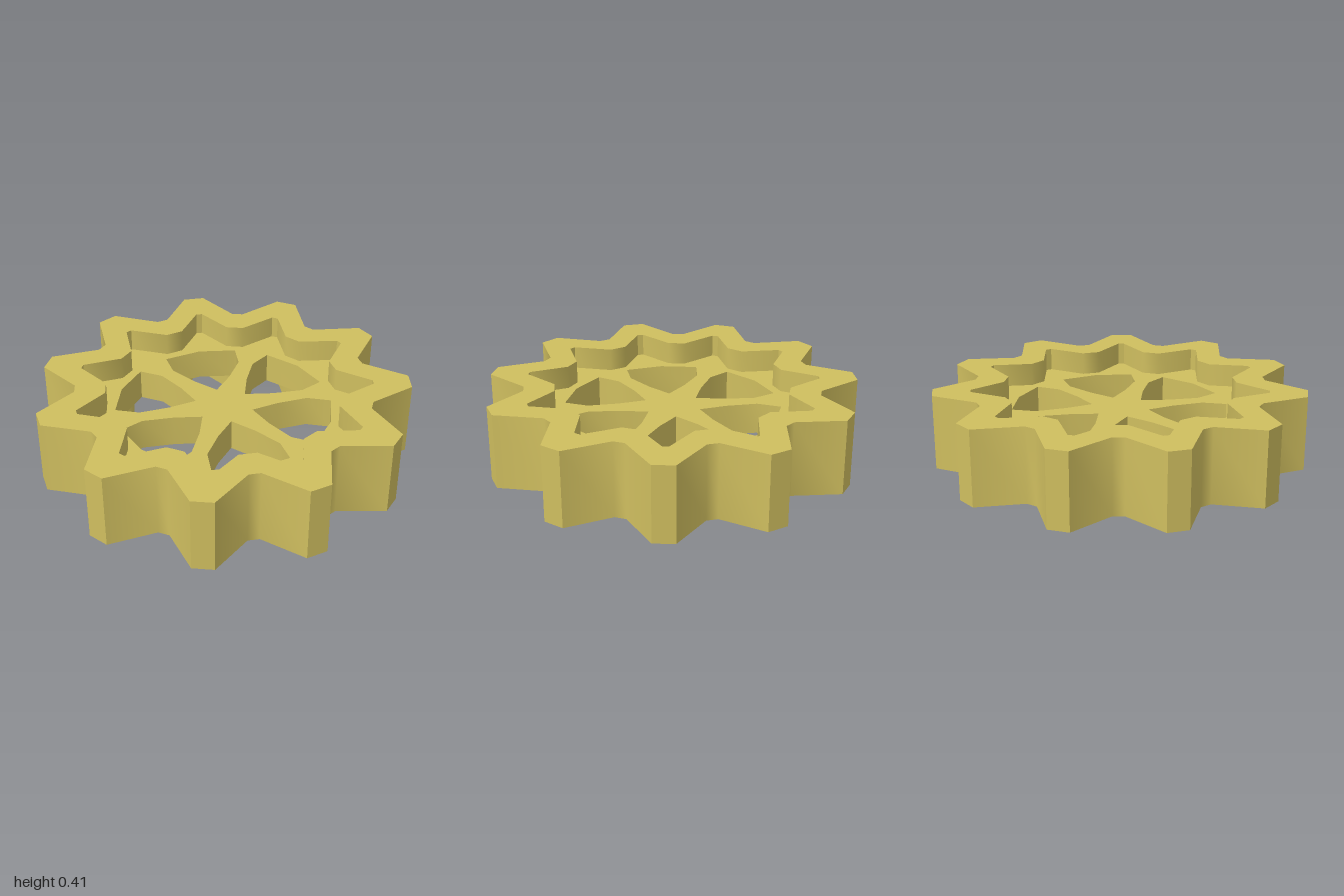
import * as THREE from 'three';
import { toCreasedNormals } from 'three/addons/utils/BufferGeometryUtils.js';

const TEETH = 11;
const HEIGHT = 0.41;
const WEB_BOTTOM = 0.11;
const WEB_TOP = 0.283;

// Toothed outline, clockwise: a flat tip and a flat valley per tooth
function toothOutline(tipR, tipHalf, valleyR, valleyHalf) {
  const points = [];
  const add = (angle, r, side) => points.push(new THREE.Vector2(
    r * Math.sin(angle) + side * Math.cos(angle),
    r * Math.cos(angle) - side * Math.sin(angle)));
  for (let i = 0; i < TEETH; i++) {
    const tip = 0.015 + (i / TEETH) * Math.PI * 2;
    const valley = tip + Math.PI / TEETH;
    add(tip, tipR, -tipHalf);
    add(tip, tipR, tipHalf);
    add(valley, valleyR, -valleyHalf);
    add(valley, valleyR, valleyHalf);
  }
  return points;
}

// Fan-shaped opening between two spokes, clockwise
function openingOutline(angle) {
  const half = [[0.16, 0], [0.275, 0.1], [0.417, 0.193], [0.55, 0.205], [0.588, 0]];
  const mirrored = half.slice(1, -1).reverse().map(([x, y]) => [x, -y]);
  return [...half, ...mirrored].map(([x, y]) =>
    new THREE.Vector2(x, y).rotateAround(new THREE.Vector2(), angle));
}

// Upright slab with crisp edges and softened valleys
function slab(name, outline, holes, y0, y1, material) {
  const shape = new THREE.Shape(outline);
  // Holes run against the outline so their walls face inward
  for (const h of holes) shape.holes.push(new THREE.Path([...h].reverse()));
  const extruded = new THREE.ExtrudeGeometry(shape, { depth: y1 - y0, bevelEnabled: false });
  extruded.rotateX(-Math.PI / 2);
  const mesh = new THREE.Mesh(toCreasedNormals(extruded, THREE.MathUtils.degToRad(47)), material);
  mesh.name = name;
  mesh.position.set(0, y0, 0.008);
  return mesh;
}

export function createModel() {
  const group = new THREE.Group();
  group.name = 'gearWheel';
  const brass = new THREE.MeshStandardMaterial({ color: 0xcfbe5f });
  brass.name = 'brass';

  const outer = toothOutline(1.003, 0.058, 0.797, 0.031);
  const inner = toothOutline(0.803, 0.017, 0.632, 0.048);
  const openings = Array.from({ length: 6 }, (_, i) => openingOutline(i * Math.PI / 3));

  // Full-height toothed rim and the recessed spoked web
  group.add(slab('toothedRim', outer, [inner], 0, HEIGHT, brass));
  group.add(slab('spokedWeb', inner, openings, WEB_BOTTOM, WEB_TOP, brass));
  return group;
}
